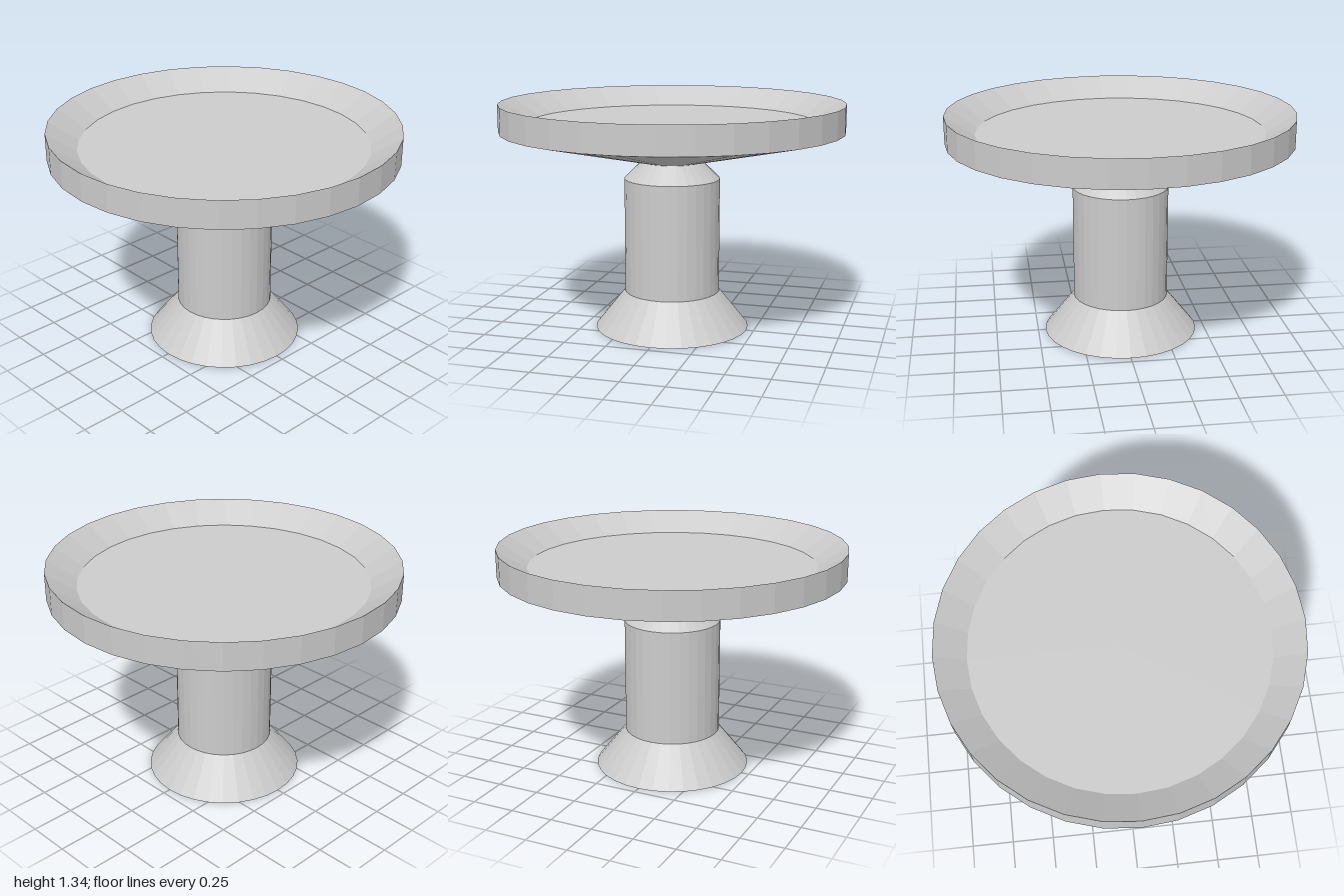
import * as THREE from 'three';

const SIDES = 32;
const material = new THREE.MeshStandardMaterial({ color: 0xcccccc, flatShading: true });

// Faceted turned part from [radius, height] pairs, listed from the outside bottom up
function turned(name, profile) {
  const points = profile.map(([r, y]) => new THREE.Vector2(r, y));
  const geometry = new THREE.LatheGeometry(points, SIDES).toNonIndexed();
  geometry.computeVertexNormals();
  const mesh = new THREE.Mesh(geometry, material);
  mesh.name = name;
  return mesh;
}

export function createModel() {
  const model = new THREE.Group();
  model.name = 'pedestalBasin';

  // Flared foot, straight column and tapered neck
  model.add(turned('pedestal', [
    [0, 0], [0.455, 0], [0.28, 0.22], [0.28, 0.895], [0.18, 0.995],
  ]));

  // Shallow dish: conical underside, upright rim, sloped inner wall, flat floor
  model.add(turned('basin', [
    [0, 0.995], [0.18, 0.995], [1, 1.18], [1, 1.34], [0.83, 1.227], [0, 1.227],
  ]));

  return model;
}
